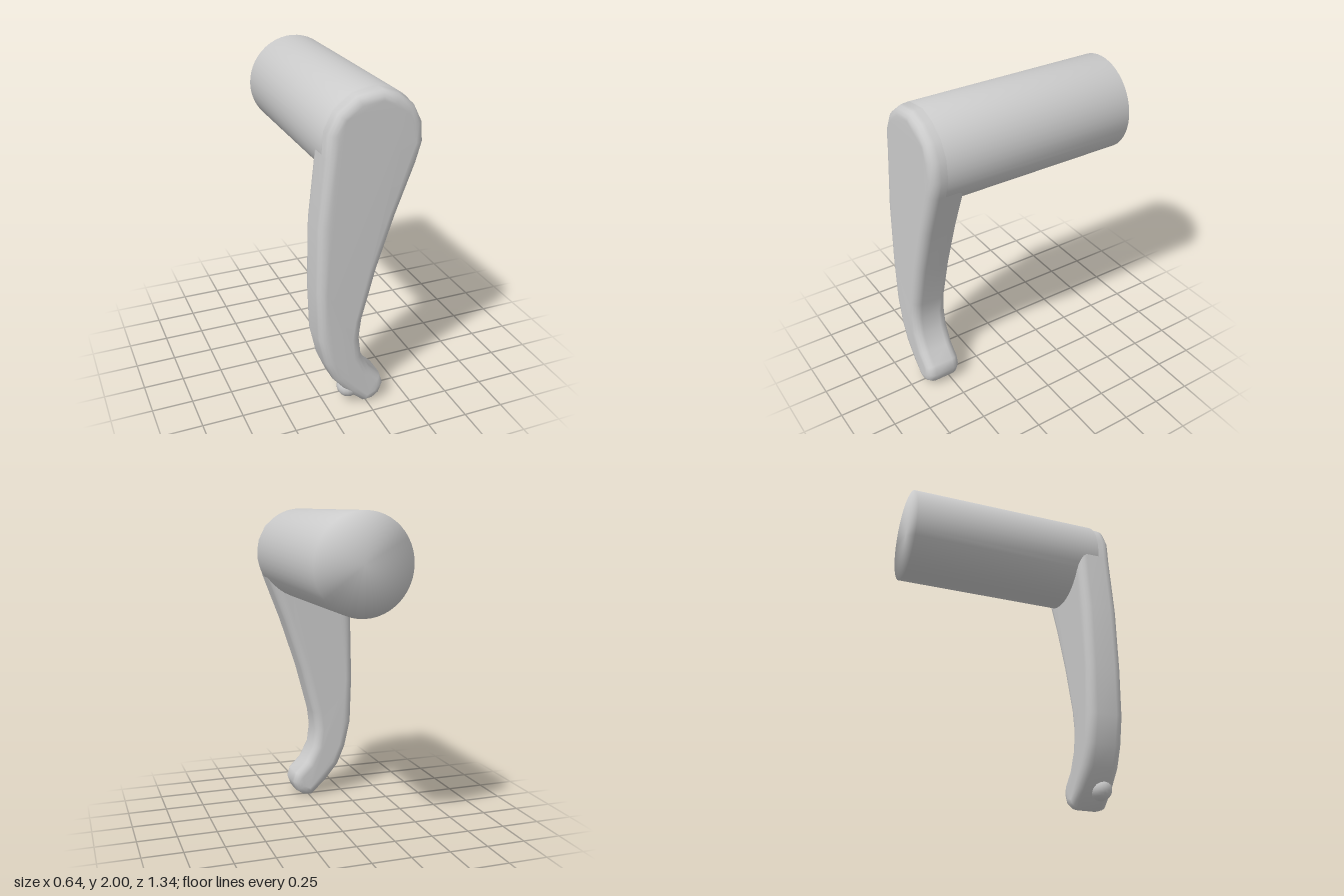
import * as THREE from 'three';
import { mergeVertices } from 'three/addons/utils/BufferGeometryUtils.js';

const material = new THREE.MeshStandardMaterial({ color: 0xcccccc });

// Weld a geometry and give it soft, area-weighted normals
function soften(geometry) {
  geometry.deleteAttribute('uv');
  geometry.deleteAttribute('normal');
  const welded = mergeVertices(geometry, 1e-4);
  welded.computeVertexNormals();
  return welded;
}

function addPart(group, name, geometry) {
  const mesh = new THREE.Mesh(geometry, material);
  mesh.name = name;
  group.add(mesh);
  return mesh;
}

export function createModel() {
  const group = new THREE.Group();
  group.name = 'leverHandle';

  // Lever arm: tapering curved outline, counter-clockwise from the tip
  const outline = [
    [-0.02, 0.005], [0.04, 0.01], [0.09, 0.045], [0.115, 0.11], [0.095, 0.175],
    [0.02, 0.25], [-0.035, 0.36], [-0.05, 0.48], [-0.035, 0.6], [0.05, 0.92],
    [0.16, 1.25], [0.275, 1.55], [0.31, 1.67], [0.3, 1.79], [0.25, 1.89],
    [0.16, 1.96], [0.06, 1.995], [-0.09, 1.975], [-0.2, 1.89], [-0.255, 1.78],
    [-0.265, 1.64], [-0.31, 1.24], [-0.32, 0.83], [-0.31, 0.52], [-0.27, 0.34],
    [-0.215, 0.21], [-0.12, 0.095],
  ].map(([x, y]) => new THREE.Vector2(x, y));
  const back = 0.435, front = 0.67, bevel = 0.055;
  const arm = new THREE.ExtrudeGeometry(new THREE.Shape(outline), {
    depth: front - back - 2 * bevel,
    bevelThickness: bevel, bevelSize: bevel, bevelOffset: -bevel, bevelSegments: 4,
  });
  arm.translate(0, 0, back + bevel);
  addPart(group, 'leverArm', soften(arm));

  // Round spindle running back from the top of the arm
  const spindle = new THREE.CylinderGeometry(0.295, 0.295, 1.24, 48);
  spindle.rotateX(Math.PI / 2);
  addPart(group, 'spindle', soften(spindle)).position.set(0.025, 1.705, -0.045);

  // Small stud peeking out beside the tip
  addPart(group, 'tipStud', new THREE.SphereGeometry(0.07, 16, 12)).position.set(-0.1, 0.112, 0.59);

  return group;
}
